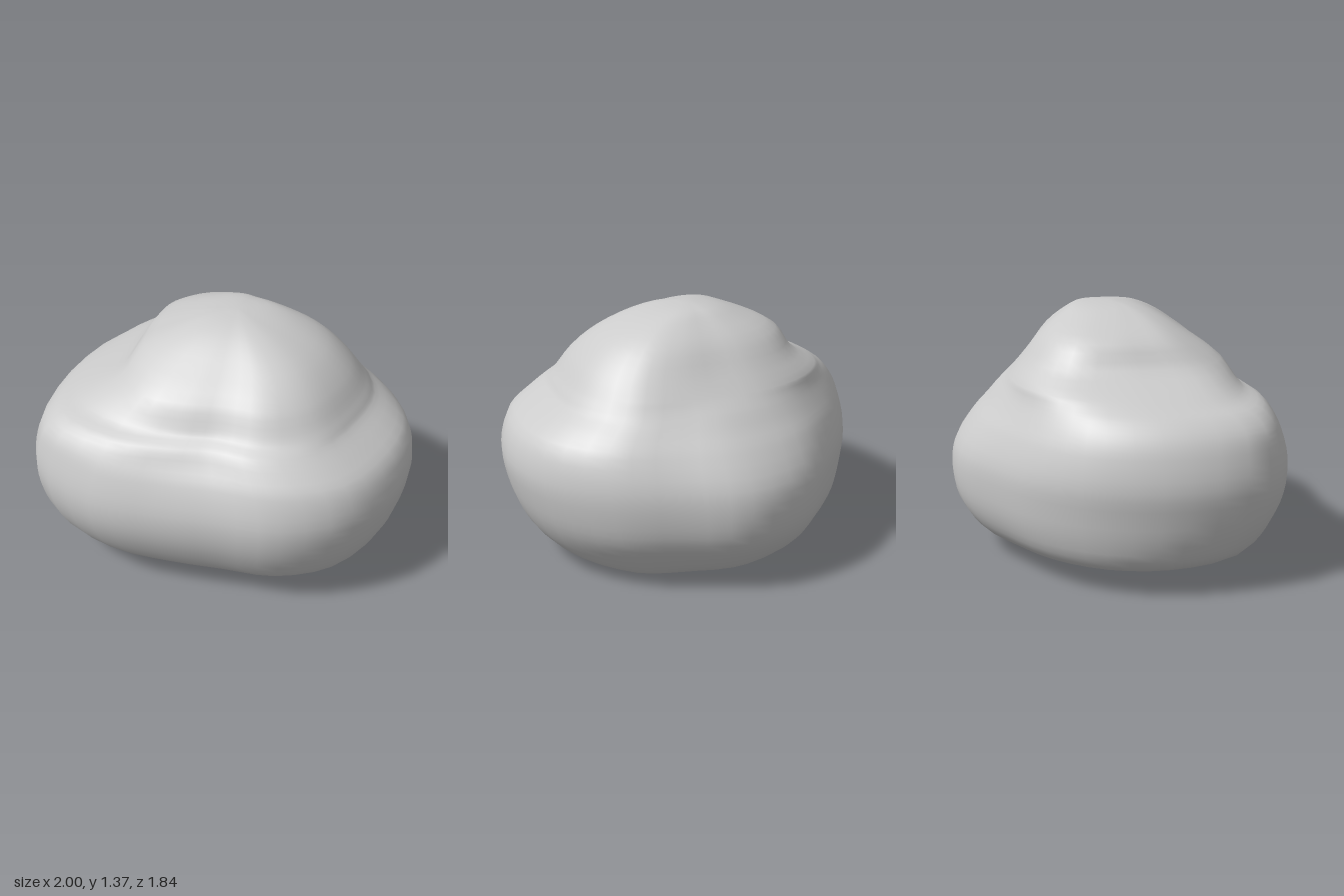
import * as THREE from 'three';
import { mergeVertices } from 'three/addons/utils/BufferGeometryUtils.js';

// Polar radii of the plan outlines, every 22.5 degrees from +x towards +z
const OUTLINES = [
  // body
  [1.0, 0.98, 0.89, 0.79, 0.82, 0.96, 1.09, 1.05, 0.985, 0.91, 0.86, 0.9, 0.91, 0.865, 0.925, 0.985],
  // shoulder, hollow at the front and full at the back
  [0.99, 0.98, 0.83, 0.69, 0.72, 0.89, 1.09, 1.04, 0.985, 0.92, 0.88, 0.9, 0.91, 0.9, 1.0, 1.03],
  // dome
  [1.05, 1.04, 0.95, 0.82, 0.88, 1.02, 1.08, 0.98, 0.98, 1.06, 1.06, 0.98, 0.9, 0.96, 1.08, 1.09],
];

// Height, x range, z range and outline (0 body, 1 shoulder, 2 dome)
const LEVELS = [
  [0.0, -0.08, 0.12, -0.2, 0.02, 2],
  [0.03, -0.3, 0.6, -0.57, 0.28, 1.8],
  [0.08, -0.68, 0.74, -0.7, 0.54, 0.4],
  [0.17, -0.89, 0.85, -0.8, 0.75, 0],
  [0.3, -0.95, 0.93, -0.89, 0.85, 0],
  [0.45, -0.98, 0.98, -0.92, 0.91, 0],
  [0.6, -1.0, 1.0, -0.9, 0.92, 0.1],
  [0.76, -0.97, 0.95, -0.8, 0.88, 0.5],
  [0.85, -0.93, 0.84, -0.72, 0.84, 0.9],
  [0.92, -0.87, 0.74, -0.66, 0.78, 1.1],
  [0.96, -0.81, 0.71, -0.62, 0.69, 1.3],
  [1.0, -0.74, 0.68, -0.58, 0.645, 1.6],
  [1.1, -0.57, 0.61, -0.5, 0.56, 2],
  [1.22, -0.49, 0.48, -0.41, 0.38, 2],
  [1.31, -0.3, 0.3, -0.3, 0.22, 2],
  [1.355, -0.16, 0.14, -0.22, 0.09, 2],
];
const AROUND = 48;
const UP = 51;

const outlineCurve = (radii) => new THREE.CatmullRomCurve3(
  radii.map((r, i) => {
    const a = (i / radii.length) * Math.PI * 2;
    return new THREE.Vector3(r * Math.cos(a), 0, r * Math.sin(a));
  }), true);

// Closed outline scaled so its sides meet the given ranges
function ring([y, x0, x1, z0, z1, shape]) {
  const k = Math.min(1, Math.floor(shape));
  const radii = OUTLINES[k].map((r, i) => THREE.MathUtils.lerp(r, OUTLINES[k + 1][i], shape - k));
  const pts = outlineCurve(radii).getPoints(AROUND);
  const box = new THREE.Box3().setFromPoints(pts);
  return pts.map((p) => new THREE.Vector3(
    p.x < 0 ? (p.x / box.min.x) * x0 : (p.x / box.max.x) * x1,
    y,
    p.z < 0 ? (p.z / box.min.z) * z0 : (p.z / box.max.z) * z1));
}

function boulderGeometry() {
  const rings = LEVELS.map(ring);
  const bottom = new THREE.Vector3(0.02, 0, -0.1);
  const top = new THREE.Vector3(-0.01, 1.372, -0.05);
  const positions = [];
  const index = [];
  // Smooth ribs from the underside to the crown
  for (let i = 0; i <= AROUND; i++) {
    const k = i % AROUND;
    const rib = new THREE.CatmullRomCurve3([bottom, ...rings.map((r) => r[k]), top]);
    for (const p of rib.getPoints(UP)) positions.push(p.x, Math.max(0, p.y), p.z);
  }
  const row = UP + 1;
  for (let i = 0; i < AROUND; i++) {
    for (let j = 0; j < UP; j++) {
      const a = i * row + j;
      const b = a + row;
      if (j < UP - 1) index.push(a, a + 1, b + 1);
      if (j > 0) index.push(a, b + 1, b);
    }
  }
  const geometry = new THREE.BufferGeometry();
  geometry.setAttribute('position', new THREE.Float32BufferAttribute(positions, 3));
  geometry.setIndex(index);
  const merged = mergeVertices(geometry, 1e-5);
  merged.computeVertexNormals();
  return merged;
}

export function createModel() {
  const group = new THREE.Group();
  group.name = 'rock';
  const boulder = new THREE.Mesh(
    boulderGeometry(),
    new THREE.MeshStandardMaterial({ color: 0xcccccc }));
  boulder.name = 'boulder';
  group.add(boulder);
  return group;
}
